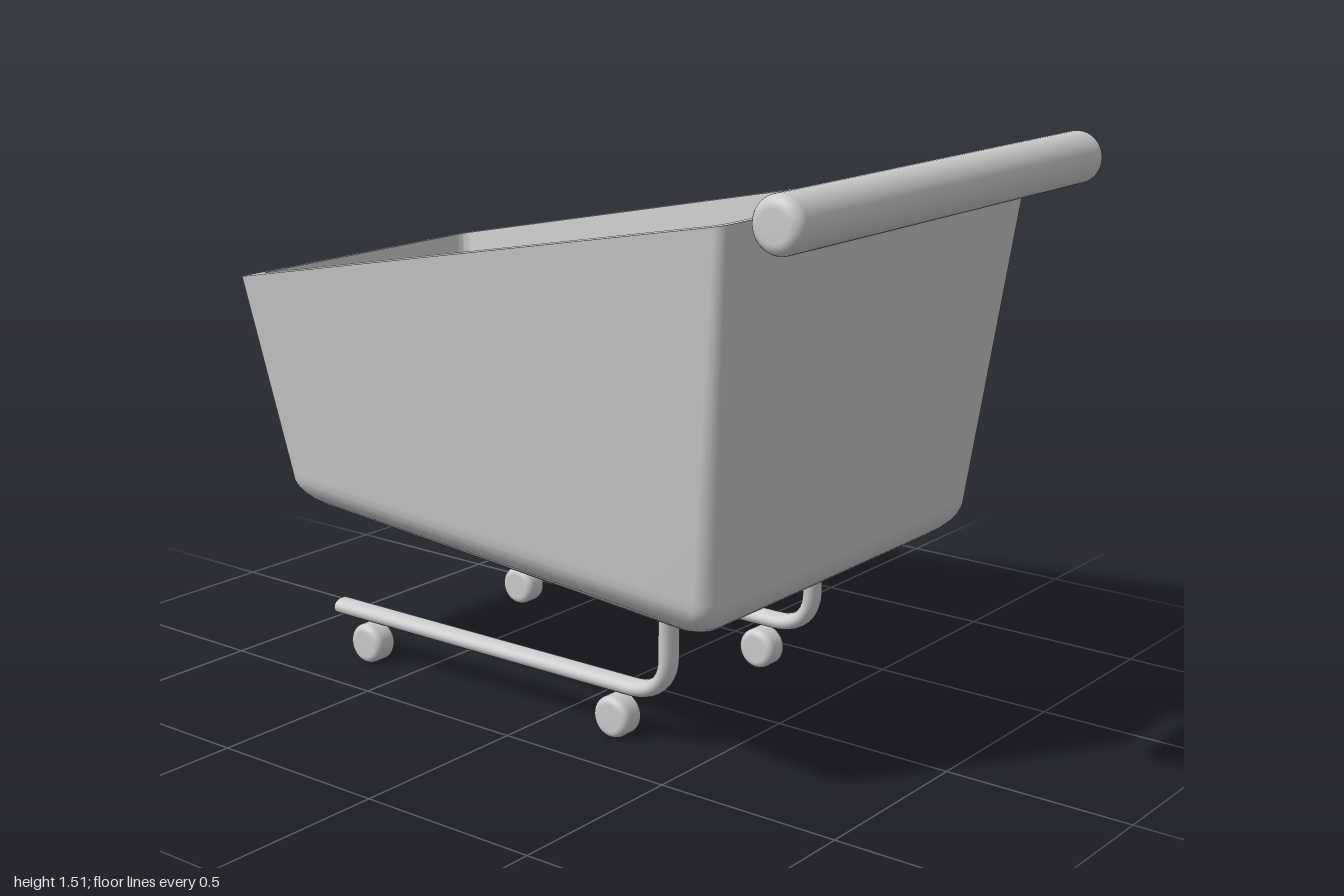
import * as THREE from 'three';
import { toCreasedNormals } from 'three/addons/utils/BufferGeometryUtils.js';

const material = new THREE.MeshStandardMaterial({ color: 0xcccccc });

function addMesh(parent, name, geometry, x = 0, y = 0, z = 0) {
  const mesh = new THREE.Mesh(geometry, material);
  mesh.name = name;
  mesh.position.set(x, y, z);
  parent.add(mesh);
  return mesh;
}

// Trapezoid ring with rounded corners; yAt gives the height for each z
function ring({ front, back, wideFront, wideBack, r, yAt }) {
  const corners = [[wideFront, front, 1, 1], [-wideFront, front, -1, 1],
    [-wideBack, back, -1, -1], [wideBack, back, 1, -1]];
  const points = [];
  corners.forEach(([x, z, sx, sz], k) => {
    for (let i = 0; i <= 6; i++) {
      const a = (k + i / 6) * Math.PI / 2;
      const pz = z - sz * r + r * Math.sin(a);
      points.push([x - sx * r + r * Math.cos(a), yAt(pz), pz]);
    }
  });
  return points;
}

// Skin through rings, closed with a flat cap at both ends
function loft(rings) {
  const n = rings[0].length;
  const positions = rings.flat(2);
  const index = [];
  for (let i = 0; i < rings.length - 1; i++) {
    for (let j = 0; j < n; j++) {
      const k = (j + 1) % n;
      const a = i * n + j, b = i * n + k;
      index.push(a, a + n, b, b, a + n, b + n);
    }
  }
  const cap = (row, flip) => {
    const center = positions.length / 3;
    const mid = [0, 1, 2].map(c => rings[row].reduce((s, p) => s + p[c], 0) / n);
    positions.push(...mid);
    for (let j = 0; j < n; j++) {
      const a = row * n + j, b = row * n + (j + 1) % n;
      index.push(center, flip ? b : a, flip ? a : b);
    }
  };
  cap(0, false);
  cap(rings.length - 1, true);
  const geometry = new THREE.BufferGeometry();
  geometry.setAttribute('position', new THREE.Float32BufferAttribute(positions, 3));
  geometry.setIndex(index);
  return toCreasedNormals(geometry, 0.6);
}

// Tapered, hollow basket with sloping rim and rounded underside
function basketGeometry() {
  const bend = (t, floor) => {
    const rows = [];
    for (let i = 0; i <= 10; i++) {
      const a = (1 - i / 10) * Math.PI / 2;
      const inset = t + 0.21 * (1 - Math.cos(a));
      const y = floor + 0.13 * (1 - Math.sin(a));
      rows.push(ring({ front: 0.705 - inset, back: -0.91 + inset, wideFront: 0.59 - inset,
        wideBack: 0.39 - inset, r: 0.05, yAt: () => y }));
    }
    return rows;
  };
  const rim = t => ring({ front: 0.8 - t, back: -1 + t, wideFront: 0.68 - t * 1.2,
    wideBack: 0.455 - t, r: 0.03, yAt: z => 1.27 + 0.2 * z });
  return loft([...bend(0, 0.39), rim(0), rim(0.042), ...bend(0.045, 0.435).reverse()]);
}

// Solid bar along x with rounded edges
function roundedBar(radius, length, bevel) {
  const h = length / 2;
  const profile = [new THREE.Vector2(0, -h)];
  for (const s of [-1, 1]) {
    for (let i = 0; i <= 6; i++) {
      const a = (s < 0 ? i / 6 - 1 : i / 6) * Math.PI / 2;
      profile.push(new THREE.Vector2(radius - bevel + bevel * Math.cos(a),
        s * (h - bevel) + bevel * Math.sin(a)));
    }
  }
  profile.push(new THREE.Vector2(0, h));
  return new THREE.LatheGeometry(profile, 40).rotateZ(Math.PI / 2);
}

// Bent runner below the basket
function runnerGeometry() {
  const v = (y, z) => new THREE.Vector3(0, y, z);
  const path = new THREE.CurvePath();
  path.add(new THREE.LineCurve3(v(0.43, 0.382), v(0.25, 0.382)));
  path.add(new THREE.CubicBezierCurve3(v(0.25, 0.382), v(0.185, 0.382), v(0.147, 0.34), v(0.146, 0.27)));
  path.add(new THREE.LineCurve3(v(0.146, 0.27), v(0.14, -0.77)));
  return new THREE.TubeGeometry(path, 90, 0.0225, 20).scale(1.45, 1, 1);
}

export function createModel() {
  const cart = new THREE.Group();
  cart.name = 'shoppingCart';
  addMesh(cart, 'basket', basketGeometry());
  addMesh(cart, 'handle', roundedBar(0.068, 1.38, 0.03), 0, 1.443, 0.932);

  for (const side of [1, -1]) {
    const label = side > 0 ? 'left' : 'right';

    // Flat bracket between basket and handle
    const bracket = addMesh(cart, label + 'HandleBracket',
      new THREE.BoxGeometry(0.05, 0.025, 0.14), side * 0.365, 1.422, 0.835);
    bracket.rotation.x = -0.25;

    // Runner with rounded tip and two wheels
    const runner = new THREE.Group();
    runner.name = label + 'Runner';
    runner.position.x = side * 0.32;
    addMesh(runner, 'runnerTube', runnerGeometry());
    addMesh(runner, 'runnerTip',
      new THREE.SphereGeometry(0.0225, 20, 14).scale(1.45, 1, 0.6), 0, 0.14, -0.77);
    addMesh(runner, 'frontWheel', roundedBar(0.056, 0.074, 0.02), 0, 0.058, 0.218);
    addMesh(runner, 'backWheel', roundedBar(0.056, 0.074, 0.02), 0, 0.058, -0.655);
    cart.add(runner);
  }
  return cart;
}
